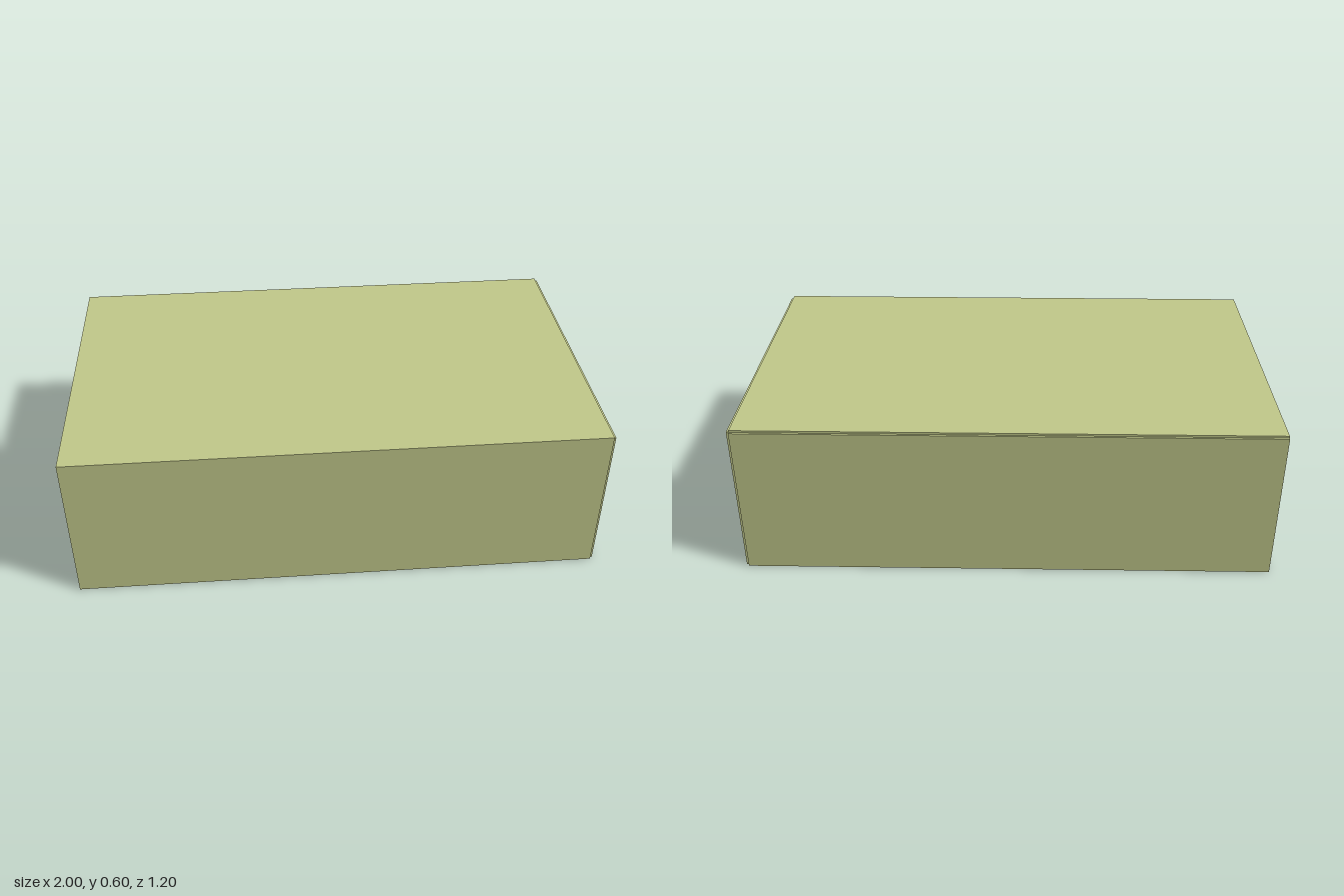
import * as THREE from 'three';

const material = (name, color) => {
  const m = new THREE.MeshStandardMaterial({ color });
  m.name = name;
  return m;
};

export function createModel() {
  const olive = material('olive wall', 0xc2c98b);
  const green = material('dark green frame', 0x4f6b62);
  const brown = material('door brown', 0x70533c);
  const grey = material('table grey', 0xb3b3b3);

  const room = new THREE.Group();
  room.name = 'room';

  // Box given by its lower and upper limits on each axis
  const box = (parent, name, mat, [x0, x1], [y0, y1], [z0, z1]) => {
    const mesh = new THREE.Mesh(new THREE.BoxGeometry(x1 - x0, y1 - y0, z1 - z0), mat);
    mesh.position.set((x0 + x1) / 2, (y0 + y1) / 2, (z0 + z1) / 2);
    mesh.name = name;
    parent.add(mesh);
  };

  // Shell: thin slabs with open corner seams, no floor
  box(room, 'frontWall', olive, [-1, 0.99], [0, 0.592], [0.59, 0.6]);
  box(room, 'backWall', olive, [-1, 0.99], [0, 0.592], [-0.6, -0.59]);
  box(room, 'leftWall', olive, [0.99, 1], [0, 0.592], [-0.59, 0.59]);
  box(room, 'roof', olive, [-1, 0.99], [0.592, 0.6], [-0.592, 0.6]);

  // Glazed end wall: one sheet with a doorway and three openings
  const [doorEnd, doorTop, sill, head] = [-0.327, 0.52, 0.21, 0.515];
  const windows = [[-0.295, -0.044], [0.01, 0.25], [0.305, 0.556]];
  const wall = new THREE.Shape([
    [-0.59, 0.592], [-0.59, doorTop], [doorEnd, doorTop],
    [doorEnd, 0], [0.59, 0], [0.59, 0.592],
  ].map(([z, y]) => new THREE.Vector2(-z, y)));
  for (const [z0, z1] of windows) {
    wall.holes.push(new THREE.Path([
      [z0, sill], [z1, sill], [z1, head], [z0, head],
    ].map(([z, y]) => new THREE.Vector2(-z, y))));
  }
  const wallGeometry = new THREE.ExtrudeGeometry(wall, { depth: 0.014, bevelEnabled: false });
  wallGeometry.rotateY(Math.PI / 2); // shape x becomes -z, depth becomes +x
  const windowWall = new THREE.Mesh(wallGeometry, green);
  windowWall.position.x = -0.999;
  windowWall.name = 'windowWall';
  room.add(windowWall);

  // Door: a core with raised stiles, rails and panel fields on both faces
  const door = new THREE.Group();
  door.name = 'door';
  room.add(door);
  const [d0, d1] = [-0.59, doorEnd];
  box(door, 'doorCore', brown, [-0.995, -0.989], [0, doorTop], [d0, d1]);
  const thick = [-0.999, -0.985];
  for (const z of [[d0, d0 + 0.04], [d1 - 0.04, d1]]) box(door, 'doorStile', brown, thick, [0, doorTop], z);
  for (const y of [[0, 0.05], [0.2, 0.225], [0.275, 0.3], [0.48, doorTop]]) {
    box(door, 'doorRail', brown, thick, y, [d0 + 0.04, d1 - 0.04]);
  }
  for (const y of [[0.065, 0.185], [0.237, 0.263], [0.315, 0.465]]) {
    box(door, 'doorPanel', brown, [-0.997, -0.987], y, [d0 + 0.055, d1 - 0.055]);
  }

  // Table: clipped-corner top, with a round leg in each corner
  const [legX, legZ, legRadius, clip, tableHeight] = [0.293, 0.12, 0.0145, 0.028, 0.2];
  const hx = legX + legRadius, hz = legZ + legRadius;
  const outline = new THREE.Shape([
    [-hx + clip, -hz], [hx - clip, -hz], [hx, -hz + clip], [hx, hz - clip],
    [hx - clip, hz], [-hx + clip, hz], [-hx, hz - clip], [-hx, -hz + clip],
  ].map(([x, z]) => new THREE.Vector2(x, z)));
  const topGeometry = new THREE.ExtrudeGeometry(outline, { depth: 0.025, bevelEnabled: false });
  topGeometry.rotateX(-Math.PI / 2).translate(0, tableHeight - 0.025, 0);
  const legGeometry = new THREE.CylinderGeometry(legRadius, legRadius, tableHeight, 16);

  const addTable = (name, x, z, turned) => {
    const table = new THREE.Group();
    table.name = name;
    const top = new THREE.Mesh(topGeometry, grey);
    top.name = 'tableTop';
    table.add(top);
    for (const sx of [-1, 1]) {
      for (const sz of [-1, 1]) {
        const leg = new THREE.Mesh(legGeometry, grey);
        leg.position.set(sx * legX, tableHeight / 2, sz * legZ);
        leg.name = 'tableLeg';
        table.add(leg);
      }
    }
    table.position.set(x, 0, z);
    if (turned) table.rotation.y = Math.PI / 2;
    room.add(table);
  };

  // Tables in a U along the walls, leaving the doorway clear
  addTable('frontLeftTable', 0.345, 0.45, false);
  addTable('frontRightTable', -0.315, 0.45, false);
  addTable('backTable', 0.345, -0.45, false);
  addTable('windowTable', -0.79, 0.262, true);
  addTable('endTable', 0.78, 0.005, true);

  return room;
}
